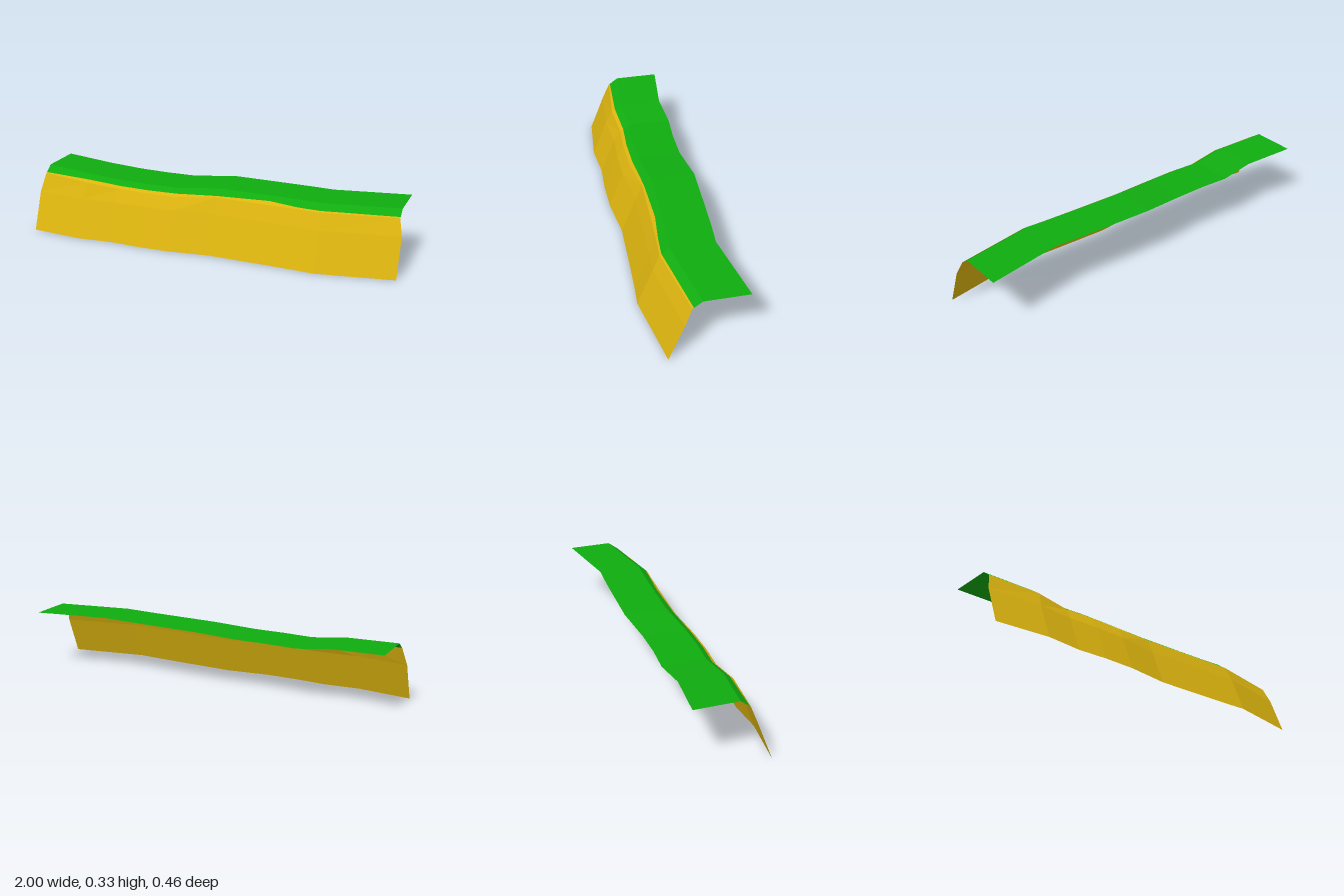
import * as THREE from 'three';

// Stations along the ledge: x, z shift, height of the grass fold, top of the earth
const STATIONS = [
  [-1.0, 0.036, 0.332, 0.301],
  [-0.72, 0.067, 0.317, 0.295],
  [-0.53, 0.052, 0.299, 0.276],
  [-0.37, 0.063, 0.299, 0.276],
  [-0.2, 0.063, 0.299, 0.277],
  [0.03, 0.038, 0.316, 0.287],
  [0.32, 0.05, 0.316, 0.296],
  [0.48, 0.058, 0.316, 0.288],
  [0.6, 0.067, 0.316, 0.288],
  [1.0, 0.0, 0.316, 0.286],
];

// Open sheet lofted through one cross-section per station
function sheet(name, material, section) {
  const rows = STATIONS.map(section);
  const n = rows[0].length;
  const index = [];
  for (let i = 0; i < rows.length - 1; i++) {
    for (let j = 0; j < n - 1; j++) {
      const a = i * n + j, b = a + n;
      index.push(a, b, b + 1, a, b + 1, a + 1);
    }
  }
  const geometry = new THREE.BufferGeometry();
  geometry.setAttribute('position', new THREE.Float32BufferAttribute(rows.flat(2), 3));
  geometry.setIndex(index);
  const flat = geometry.toNonIndexed();
  flat.computeVertexNormals();
  const mesh = new THREE.Mesh(flat, material);
  mesh.name = name;
  return mesh;
}

function flatMaterial(name, color) {
  const material = new THREE.MeshStandardMaterial({ color, flatShading: true, side: THREE.DoubleSide });
  material.name = name;
  return material;
}

export function createModel() {
  const group = new THREE.Group();
  group.name = 'grassLedge';
  const earth = flatMaterial('earth yellow', 0xdcb40f);
  const grass = flatMaterial('grass green', 0x10ac10);

  // Leaning earth wall, bent back at the top where it meets the grass
  group.add(sheet('earthWall', earth, ([x, s, fold, top]) => {
    const bend = fold - 0.035;
    const topZ = s + 0.049 - (top - bend) * 1.34;
    return [
      [x, 0, s + 0.162],
      [x, 0.2, s + 0.085],
      [x * 0.98, bend, s + 0.049],
      [x * 0.98, top, topZ],
    ];
  }));

  // Grass: sloping lip in front, flat strip behind
  group.add(sheet('grassLip', grass, ([x, s, fold]) => [
    [x * 0.98, fold - 0.035, s + 0.047],
    [x * 0.98, fold, s],
  ]));
  group.add(sheet('grassTop', grass, ([x, s, fold]) => [
    [x * 0.98, fold, s],
    [x * 0.98, fold, s - 0.228],
  ]));
  return group;
}
